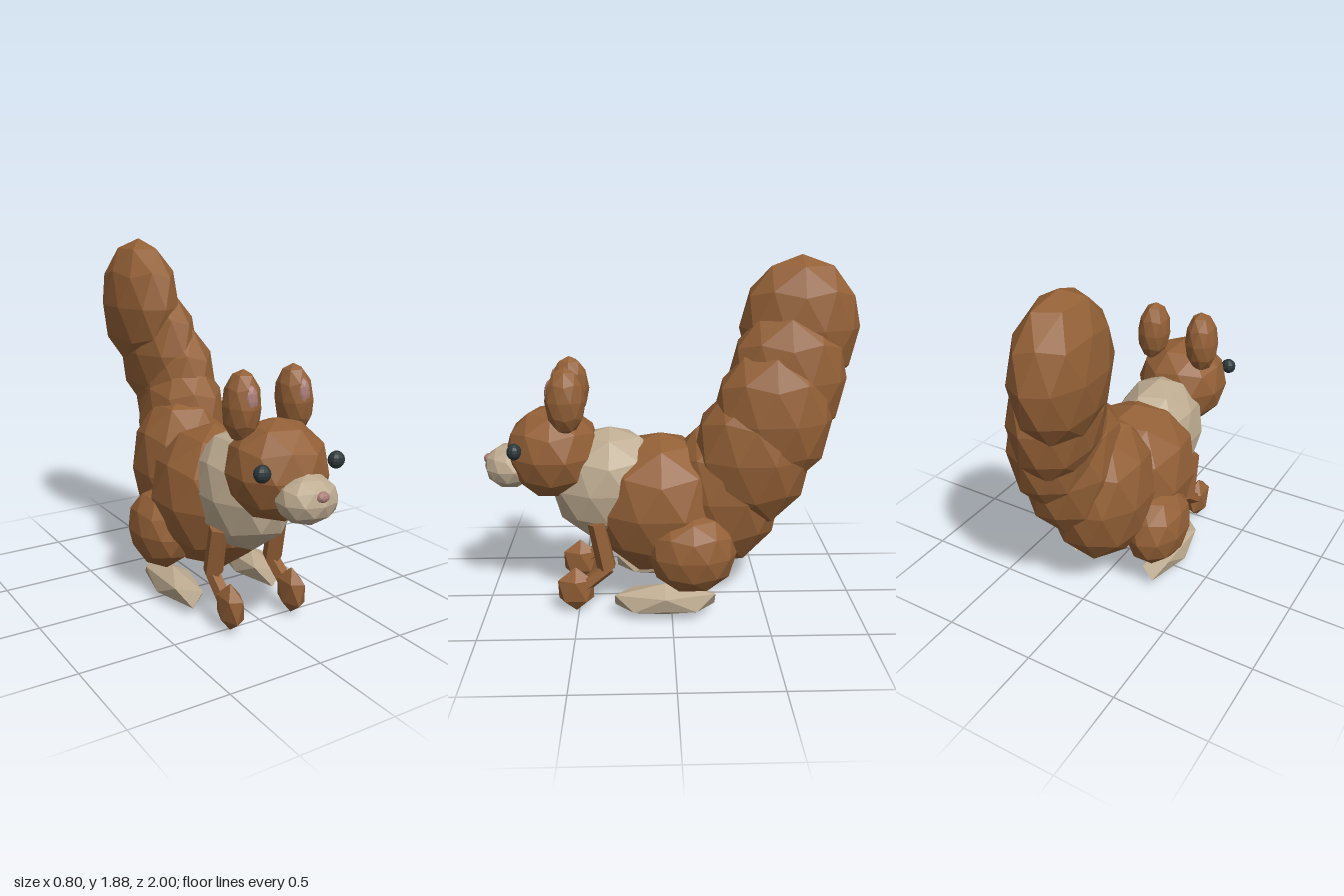
import * as THREE from 'three';

const mat = (name, color) => {
  const m = new THREE.MeshStandardMaterial({ color, flatShading: true });
  m.name = name;
  return m;
};

export function createModel() {
  const fur = mat('brown fur', 0x936036);
  const cream = mat('cream fur', 0xbdab90);
  const pink = mat('pink skin', 0xa87c76);
  const dark = mat('dark eye', 0x2b3638);

  const model = new THREE.Group();
  model.name = 'squirrel';

  // Faceted ellipsoid standing on a corner: centre, radii, detail level
  const poleAngle = -Math.atan((1 + Math.sqrt(5)) / 2);
  const blob = (name, material, pos, radii, detail = 1) => {
    const geometry = new THREE.IcosahedronGeometry(1, detail).rotateX(poleAngle).rotateY(Math.PI / 2);
    const mesh = new THREE.Mesh(geometry, material);
    mesh.name = name;
    mesh.position.set(...pos);
    mesh.scale.set(...radii);
    model.add(mesh);
    return mesh;
  };

  // Five-sided limb between two points
  const limb = (name, from, to, r0, r1) => {
    const a = new THREE.Vector3(...from), b = new THREE.Vector3(...to);
    const dir = b.clone().sub(a);
    const mesh = new THREE.Mesh(new THREE.CylinderGeometry(r1, r0, dir.length(), 5), fur);
    mesh.name = name;
    mesh.position.copy(a).add(b).multiplyScalar(0.5);
    mesh.quaternion.setFromUnitVectors(new THREE.Vector3(0, 1, 0), dir.normalize());
    model.add(mesh);
  };

  // Torso and head
  blob('body', fur, [0, 0.55, 0.055], [0.337, 0.395, 0.385]);
  blob('chest', cream, [0, 0.66, 0.325], [0.245, 0.32, 0.325]);
  blob('head', fur, [0, 0.848, 0.625], [0.26, 0.255, 0.255]);
  blob('muzzle', cream, [0, 0.77, 0.86], [0.157, 0.12, 0.137]);
  blob('nose', pink, [0, 0.81, 0.972], [0.037, 0.027, 0.029]);

  // Mirrored parts
  for (const [side, s] of [['left', 1], ['right', -1]]) {
    blob(side + 'Ear', fur, [s * 0.152, 1.158, 0.543], [0.092, 0.177, 0.106]).rotation.z = s * 0.05;
    blob(side + 'InnerEar', pink, [s * 0.15, 1.195, 0.615], [0.038, 0.078, 0.033]);

    const eye = new THREE.Mesh(new THREE.SphereGeometry(0.043, 10, 8), dark);
    eye.name = side + 'Eye';
    eye.position.set(s * 0.212, 0.908, 0.806);
    eye.scale.z = 0.88;
    model.add(eye);

    // Front leg: upper arm, forearm, paw
    limb(side + 'UpperArm', [s * 0.185, 0.25, 0.345], [s * 0.185, 0.505, 0.395], 0.054, 0.05);
    limb(side + 'Forearm', [s * 0.185, 0.25, 0.335], [s * 0.19, 0.13, 0.49], 0.038, 0.042);
    blob(side + 'FrontPaw', fur, [s * 0.188, 0.126, 0.514], [0.062, 0.126, 0.111], 0);

    // Hind leg
    blob(side + 'Thigh', fur, [s * 0.245, 0.352, -0.107], [0.164, 0.22, 0.235]);
    blob(side + 'HindFoot', cream, [s * 0.25, 0.09, 0.037], [0.108, 0.09, 0.314], 0);
  }

  // Tail: overlapping tufts that rise, lean back and sway to one side
  const tufts = [
    [0, 0.62, -0.29, 0.28, 0.42, 0.32],
    [0.075, 0.84, -0.43, 0.238, 0.4, 0.32],
    [0.085, 1.04, -0.53, 0.218, 0.39, 0.32],
    [0.025, 1.24, -0.61, 0.2, 0.38, 0.315],
    [-0.055, 1.5, -0.68, 0.196, 0.375, 0.32],
  ];
  tufts.forEach(([x, y, z, ...radii], i) => blob('tailTuft' + (i + 1), fur, [x, y, z], radii));

  return model;
}
